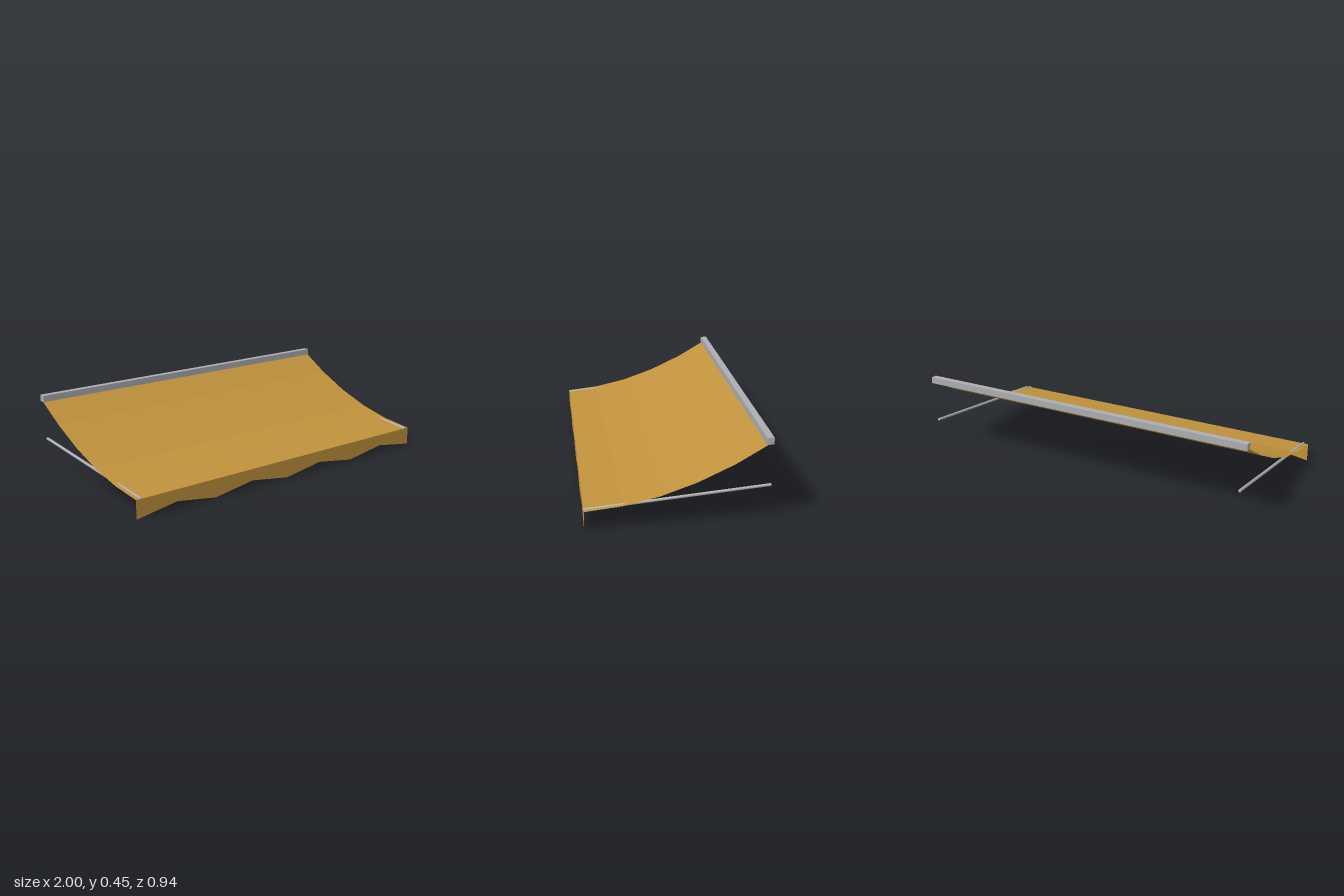
import * as THREE from 'three';

const fabric = new THREE.MeshStandardMaterial({ name: 'ochre fabric', color: 0xc0923c, side: THREE.DoubleSide, flatShading: true });
const metal = new THREE.MeshStandardMaterial({ name: 'grey metal', color: 0xacadb2 });

const FRONT = 0.468, BACK = -0.47, LOW = 0.103, HIGH = 0.43, SAG = 0.07;

function add(group, name, geometry, material) {
  const mesh = new THREE.Mesh(geometry, material);
  mesh.name = name;
  group.add(mesh);
  return mesh;
}

// Sheet hanging in a shallow parabola from the wall rail to the front edge
function canopyGeometry() {
  const geo = new THREE.PlaneGeometry(2, 1, 1, 5);
  geo.rotateX(-Math.PI / 2);
  const p = geo.attributes.position;
  for (let i = 0; i < p.count; i++) {
    const t = p.getZ(i) + 0.5; // 0 at the wall, 1 at the front
    p.setY(i, THREE.MathUtils.lerp(HIGH, LOW, t) - 4 * SAG * t * (1 - t));
    p.setZ(i, THREE.MathUtils.lerp(BACK, FRONT, t));
  }
  geo.computeVertexNormals();
  return geo;
}

// Front flap with a zigzag lower edge
function valanceGeometry() {
  const shape = new THREE.Shape();
  shape.moveTo(1, LOW);
  shape.lineTo(-1, LOW);
  for (let i = 0; i <= 8; i++) shape.lineTo(-1 + i * 0.25, i % 2 ? 0.038 : 0);
  shape.closePath();
  return new THREE.ShapeGeometry(shape).translate(0, 0, FRONT);
}

export function createModel() {
  const group = new THREE.Group();
  group.name = 'awning';

  add(group, 'canopy', canopyGeometry(), fabric);
  add(group, 'valance', valanceGeometry(), fabric);

  // Rail along the wall
  add(group, 'wallRail', new THREE.BoxGeometry(2, 0.036, 0.036), metal).position.set(0, 0.432, -0.453);

  // Slanted support arms
  const from = new THREE.Vector3(0, 0.19, -0.47), to = new THREE.Vector3(0, 0.102, 0.47);
  const dir = to.clone().sub(from);
  for (const [name, side] of [['leftArm', 1], ['rightArm', -1]]) {
    const arm = add(group, name, new THREE.CylinderGeometry(0.008, 0.008, dir.length(), 8), metal);
    arm.position.copy(from).add(to).multiplyScalar(0.5).setX(0.97 * side);
    arm.quaternion.setFromUnitVectors(new THREE.Vector3(0, 1, 0), dir.clone().normalize());
  }
  return group;
}
